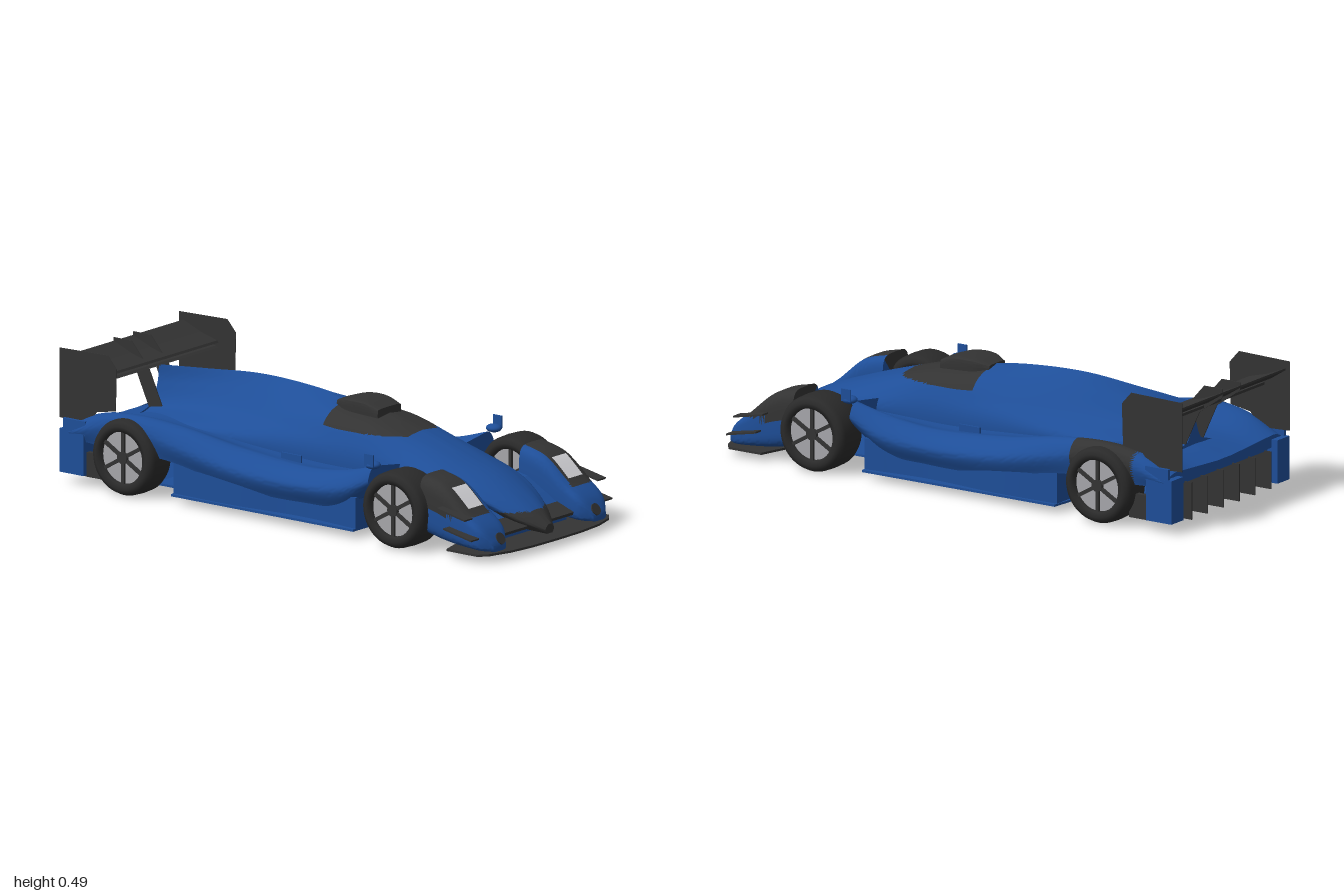
import * as THREE from 'three';
import { toCreasedNormals } from 'three/addons/utils/BufferGeometryUtils.js';

const mat = (name, color, side = THREE.FrontSide) => {
  const m = new THREE.MeshStandardMaterial({ color, side });
  m.name = name;
  return m;
};

// Reads a table of stations [x, ...values] as smooth functions of x
function stations(table) {
  const n = table[0].length - 1;
  const f = new THREE.CubicInterpolant(table.map(r => r[0]), table.flatMap(r => r.slice(1)), n);
  return { x0: table[0][0], x1: table[table.length - 1][0], at: x => Array.from(f.evaluate(x)) };
}

// Skins closed loops of [z, y] placed along x, with capped ends
function loft(st, section, rows) {
  const pos = [], idx = [];
  let n = 0;
  for (let i = 0; i <= rows; i++) {
    const x = st.x0 + (st.x1 - st.x0) * i / rows;
    const loop = section(st.at(x));
    n = loop.length;
    loop.forEach(([z, y]) => pos.push(x, y, z));
  }
  for (let i = 0; i < rows; i++) for (let j = 0; j < n; j++) {
    const a = i * n + j, b = i * n + (j + 1) % n;
    idx.push(a, a + n, b + n, a, b + n, b);
  }
  [0, rows].forEach(r => {
    const c = pos.length / 3, k = r * n;
    let y = 0, z = 0;
    for (let j = 0; j < n; j++) { y += pos[(k + j) * 3 + 1] / n; z += pos[(k + j) * 3 + 2] / n; }
    pos.push(pos[k * 3], y, z);
    for (let j = 0; j < n; j++) {
      const p = k + j, q = k + (j + 1) % n;
      r ? idx.push(c, q, p) : idx.push(c, p, q);
    }
  });
  const g = new THREE.BufferGeometry();
  g.setAttribute('position', new THREE.Float32BufferAttribute(pos, 3));
  g.setIndex(idx);
  return toCreasedNormals(g, 0.7);
}

// Symmetric section: flat bottom, then a smooth curve up to the centre line
function mirrored(points, b) {
  const half = new THREE.SplineCurve(points.map(p => new THREE.Vector2(...p))).getPoints(36).map(p => [p.x, p.y]);
  const left = half.slice(0, -1).reverse().map(([z, y]) => [-z, y]);
  return [[0, b], ...half, ...left];
}

// Puts triangles whose centre passes the test into a second material group
function paint(g, test) {
  const p = g.attributes.position, sets = [[], []];
  for (let i = 0; i < p.count; i += 3) {
    const c = k => (p.getComponent(i, k) + p.getComponent(i + 1, k) + p.getComponent(i + 2, k)) / 3;
    sets[test(c(0), c(1), c(2)) ? 1 : 0].push(i, i + 1, i + 2);
  }
  g.setIndex(sets.flat());
  g.addGroup(0, sets[0].length, 0);
  g.addGroup(sets[0].length, sets[1].length, 1);
  return g;
}

export function createModel() {
  const car = new THREE.Group();
  const blue = mat('blue paint', 0x1e4e98), carbon = mat('carbon', 0x333333, THREE.DoubleSide);
  const rubber = mat('tyre rubber', 0x2a2a2a), rim = mat('rim grey', 0xa6a6aa), lamp = mat('lamp white', 0xd4d4d8);
  const add = (name, geo, m, x = 0, y = 0, z = 0, parent = car) => {
    const mesh = new THREE.Mesh(geo, m);
    mesh.name = name;
    mesh.position.set(x, y, z);
    parent.add(mesh);
    return mesh;
  };
  const box = (name, m, w, h, d, x, y, z, parent) => add(name, new THREE.BoxGeometry(w, h, d), m, x, y, z, parent);
  const shape = pts => new THREE.Shape(pts.map(p => new THREE.Vector2(...p)));
  const slab = (pts, depth) => new THREE.ExtrudeGeometry(shape(pts), { depth, bevelEnabled: false });
  // Flat plate from half an outline of [x, z], mirrored across the centre line
  const plate = (pts, t) => slab([...pts, ...pts.slice().reverse().map(([x, z]) => [x, -z])], t).rotateX(Math.PI / 2);

  // Nose, cockpit and engine cover: x, bottom, width/height pairs going up, crown
  const tub = stations([
    [-.82, .16, .12, .16, .21, .05, .24, .008, .32, .385],
    [-.60, .16, .14, .185, .225, .075, .275, .02, .35, .405],
    [-.35, .12, .16, .188, .23, .105, .30, .04, .375, .425],
    [-.10, .06, .18, .19, .23, .14, .31, .07, .375, .415],
    [.10, .05, .18, .19, .215, .162, .30, .11, .36, .388],
    [.25, .06, .18, .19, .215, .162, .30, .11, .35, .368],
    [.42, .11, .16, .19, .21, .155, .272, .09, .31, .322],
    [.60, .12, .14, .18, .20, .14, .235, .07, .258, .265],
    [.75, .10, .09, .145, .165, .105, .19, .05, .205, .21],
    [.88, .06, .05, .09, .10, .06, .126, .03, .136, .138],
    [.96, .045, .015, .025, .06, .015, .073, .008, .078, .08],
  ]);
  const tubGeo = loft(tub, ([b, wb, w, yb, ws, ys, wt, yt, t]) =>
    mirrored([[wb, b], [w, yb], [ws, ys], [wt, yt], [0, t]], b), 120);
  add('cockpitAndNose', paint(tubGeo, (x, y) =>
    (x > .04 && x < .38 && y > .324) || (x > .8 && y < .122)), [blue, carbon]);

  // Sidepods dipping between the front and rear fenders
  const pods = stations([
    [-.95, .17, .36, .37, .19, .31, .215, .17, .20],
    [-.82, .16, .36, .377, .23, .33, .27, .18, .23],
    [-.67, .16, .36, .38, .255, .335, .291, .19, .245],
    [-.47, .15, .36, .377, .22, .32, .275, .20, .235],
    [-.20, .10, .35, .372, .17, .30, .225, .21, .215],
    [.10, .09, .34, .365, .155, .30, .205, .22, .20],
    [.30, .11, .34, .37, .175, .31, .235, .22, .205],
    [.42, .18, .33, .36, .22, .32, .27, .23, .21],
  ]);
  const podGeo = loft(pods, ([b, wb, w, ys, zs, t, zv, yv]) =>
    mirrored([[wb, b], [w, ys], [zs, t], [zv, yv], [0, yv]], b), 80);
  add('sidepodsAndRearFenders', paint(podGeo, (x, y, z) =>
    (z < -.265 && x > -.73 && x < -.62) || (z < -.3 && x > -.805 && x < -.54)), [blue, carbon]);

  // Undercut lower body, and the flat floor running from nose to diffuser
  const lower = stations([[-.47, .355], [-.2, .358], [.1, .335], [.36, .355]]);
  add('lowerBody', loft(lower, ([w]) => [[0, .03], [w, .03], [w, .15], [0, .18], [-w, .15], [-w, .03]], 20), blue);
  add('floor', plate([[.72, .2], [.36, .2], [.36, .37], [-.47, .37], [-.48, .27], [-.64, .27]], .008), blue, 0, .036, 0);

  // Roof scoop
  const scoop = stations([[.03, .05, .37, .4], [.08, .07, .36, .414], [.17, .072, .355, .414], [.23, .066, .35, .396]]);
  add('roofScoop', loft(scoop, ([w, b, t]) => mirrored([[w, b], [w, t - .012], [w * .85, t - .002], [0, t]], b), 16), carbon);

  // Front splitter, carbon ledge behind its lip, and the bridge from nose to fenders
  add('splitter', plate([[1, .001], [.997, .14], [.985, .25], [.958, .34], [.93, .375], [.79, .375], [.74, .2], [.66, .16]], .008),
    carbon, 0, .034, 0);
  box('noseLedge', carbon, .08, .012, .4, .87, .083, 0).rotation.z = -.35;
  const bridge = slab([[.65, .04], [.86, .036], [.86, .08], [.78, .13], [.7, .175], [.65, .185]], .44);
  add('noseBridge', bridge, blue, 0, 0, -.22);

  // Front fender pods: x, inner edge, outer edge, bottom, top
  const pod = stations([
    [.66, .20, .365, .07, .28], [.76, .20, .368, .05, .25], [.86, .205, .365, .04, .168],
    [.93, .22, .35, .036, .11], [.96, .25, .32, .036, .065],
  ]);
  const soft = v => Math.sign(v) * Math.abs(v) ** .45;
  for (const s of [1, -1]) {
    const fender = loft(pod, ([zi, zo, b, t]) => Array.from({ length: 40 }, (_, k) => {
      const a = -Math.PI / 2 + k * Math.PI / 20;
      return [s * (zi + zo) / 2 + soft(Math.cos(a)) * (zo - zi) / 2, (b + t) / 2 + soft(Math.sin(a)) * (t - b) / 2];
    }), 40);
    add('frontFender', paint(fender, (x, y, z) => y > .155 && s * z > .235 && x < .88), [blue, carbon]);

    // Headlight follows the slope of the fender
    const light = new THREE.PlaneGeometry(.077, .08, 8, 1).rotateX(-Math.PI / 2).translate(.812, 0, s * .285);
    const lp = light.attributes.position;
    for (let i = 0; i < lp.count; i++) lp.setY(i, pod.at(lp.getX(i))[3] + .004);
    light.computeVertexNormals();
    add('headlight', light, lamp);
    const duct = add('brakeDuct', new THREE.CylinderGeometry(.022, .022, .03, 24), carbon, .942, .072, s * .272);
    duct.rotation.z = -Math.PI / 2 + .5;

    // Dive planes, mirrors and small deck fins
    [[.83, .17], [.86, .1]].forEach(([x, y]) => {
      box('divePlane', carbon, .13, .006, .045, x, y, s * .38).rotation.z = -.2;
    });
    const mirror = add('mirror', new THREE.SphereGeometry(.03, 20, 12), blue, .43, .28, s * .345);
    mirror.scale.set(1, .5, .9);
    box('mirrorFin', blue, .04, .045, .006, .43, .3, s * .367);
    box('deckFin', blue, .09, .03, .008, -.02, .215, s * .245);

    // Rear corners, wing endplates and pylons
    box('rearCorner', blue, .11, .16, .075, -.92, .12, s * .335);
    box('rearCornerTop', blue, .1, .05, .012, -.91, .215, s * .366);
    box('wheelGuard', carbon, .09, .09, .02, -.825, .08, s * .345);
    const end = slab([[-1, .485], [-.78, .49], [-.74, .445], [-.745, .29], [-.83, .275], [-.87, .225], [-1, .23]], .002);
    add('wingEndplate', end, carbon, 0, 0, s * .34 - .001);
    const neck = slab([[-.98, .47], [-.9, .47], [-.82, .38], [-.76, .25], [-.82, .24], [-.88, .37], [-.98, .44]], .004);
    add('wingPylon', neck, carbon, 0, 0, s * .055 - .002);

    // Wheels
    for (const [x, w] of [[.56, .145], [-.67, .13]]) {
      const wheel = new THREE.Group();
      wheel.name = x > 0 ? 'frontWheel' : 'rearWheel';
      wheel.position.set(x, .142, s * (.407 - w / 2));
      wheel.rotation.x = Math.PI / 2;
      car.add(wheel);
      const h = w / 2;
      const profile = [[.094, -h + .03], [.096, -h + .004], [.115, -h], [.131, -h + .008], [.139, -h + .025], [.141, 0],
        [.139, h - .025], [.131, h - .008], [.115, h], [.096, h - .004], [.094, h - .03]];
      add('tyre', new THREE.LatheGeometry(profile.map(p => new THREE.Vector2(...p)), 48), rubber, 0, 0, 0, wheel);
      add('rim', new THREE.CylinderGeometry(.0945, .0945, w - .04, 40), rim, 0, 0, 0, wheel);
      for (const f of [1, -1]) {
        add('hub', new THREE.CylinderGeometry(.022, .022, .016, 20), carbon, 0, f * (h - .016), 0, wheel);
        for (let k = 0; k < 6; k++) {
          const a = k * Math.PI / 3 + Math.PI / 6;
          const spoke = box('spoke', carbon, .08, .01, .013, Math.cos(a) * .055, f * (h - .016), -Math.sin(a) * .055, wheel);
          spoke.rotation.y = a;
        }
      }
    }
  }

  // Rear wing main plane and lower flap
  const wing = slab([[-.98, .457], [-.9, .425], [-.825, .405], [-.82, .397], [-.86, .398], [-.92, .412], [-.98, .45]], .68);
  add('rearWing', wing, carbon, 0, 0, -.34);
  const flap = slab([[-.9, .398], [-.82, .39], [-.81, .383], [-.86, .38], [-.9, .388]], .65);
  add('wingFlap', flap, carbon, 0, 0, -.325);

  // Diffuser ramp with fins hanging to floor level
  const ramp = slab([[-.64, .028], [-.62, .036], [-.95, .175], [-.95, .165]], .54);
  add('diffuserRamp', ramp, blue, 0, 0, -.27);
  for (let i = 0; i < 6; i++) {
    const fin = slab([[-.98, .032], [-.68, .032], [-.68, .045], [-.95, .17], [-.98, .17]], .004);
    add('diffuserFin', fin, carbon, 0, 0, -.252 + i * .1);
  }
  return car;
}
